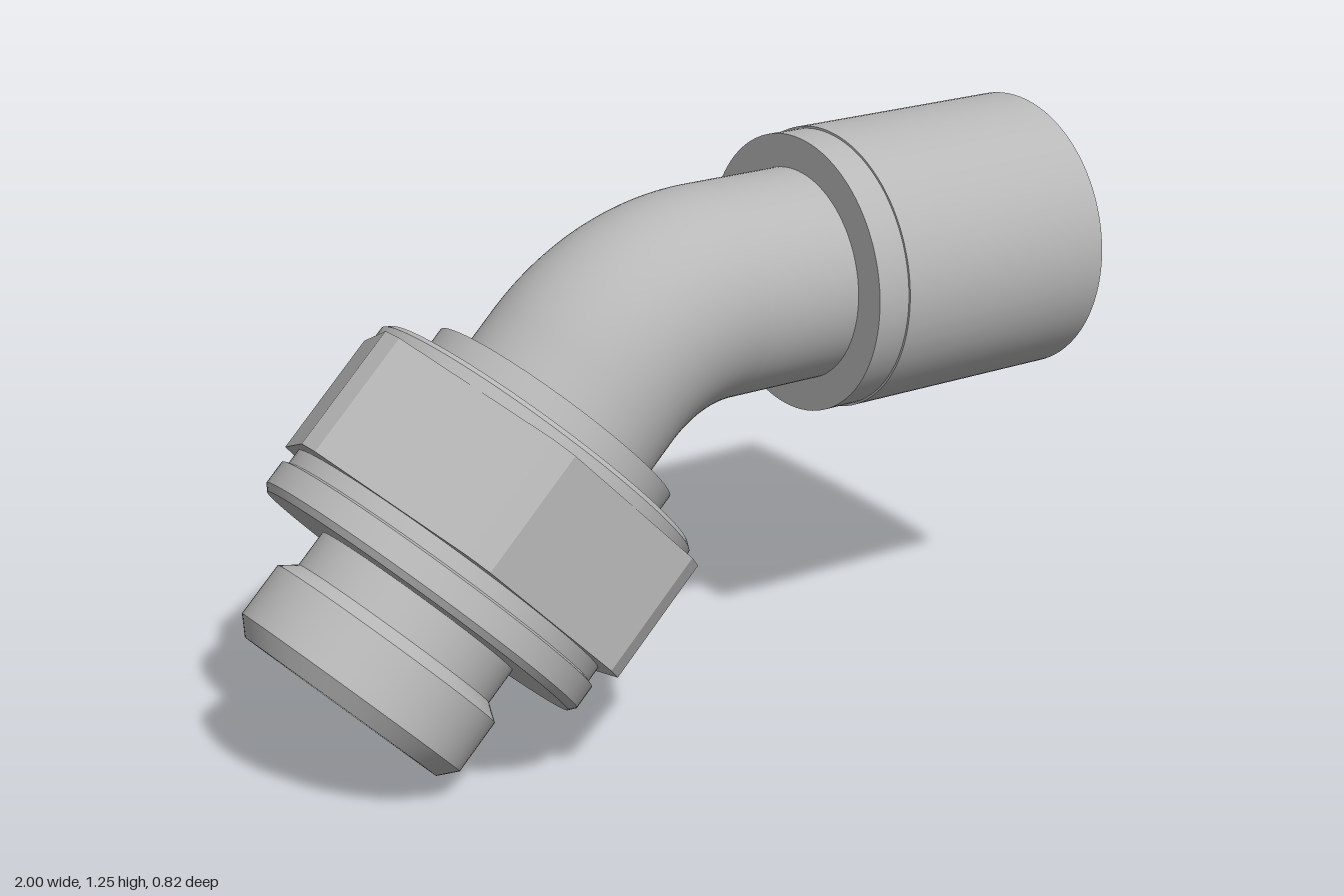
import * as THREE from 'three';
import { toCreasedNormals } from 'three/addons/utils/BufferGeometryUtils.js';

const steel = new THREE.MeshStandardMaterial({ color: 0xb8b8b8, side: THREE.DoubleSide });
steel.name = 'steel grey';

const PIPE = 0.24, BORE = 0.2, BEND = 0.46;

function add(parent, name, geometry) {
  const mesh = new THREE.Mesh(geometry, steel);
  mesh.name = name;
  parent.add(mesh);
  return mesh;
}

// Turned part from [radius, distance along axis] pairs, with sharp edges kept
function turned(parent, name, profile) {
  const points = profile.map(([r, s]) => new THREE.Vector2(r, s));
  return add(parent, name, toCreasedNormals(new THREE.LatheGeometry(points, 96), 0.35));
}

// Hexagon with slightly trimmed corners and a round hole
function hexNut(apothem, corner, holeRadius, length) {
  const half = (apothem / Math.cos(Math.PI / 6) - corner) * Math.tan(Math.PI / 3);
  const points = [];
  for (let i = 0; i < 6; i++) {
    const a = i * Math.PI / 3;
    for (const side of [-half, half]) {
      points.push(new THREE.Vector2(
        corner * Math.cos(a) - side * Math.sin(a),
        corner * Math.sin(a) + side * Math.cos(a)));
    }
  }
  const shape = new THREE.Shape(points);
  shape.holes.push(new THREE.Path().absarc(0, 0, holeRadius, 0, Math.PI * 2, true));
  const geometry = new THREE.ExtrudeGeometry(shape, { depth: length, bevelEnabled: false, curveSegments: 48 });
  return geometry.rotateX(-Math.PI / 2);
}

export function createModel() {
  const model = new THREE.Group();
  model.name = 'pipeElbow';

  // Bent pipe, outside and bore
  for (const [name, radius] of [['bendOuter', PIPE], ['bendBore', BORE]]) {
    const bend = add(model, name, new THREE.TorusGeometry(BEND, radius, 96, 40, Math.PI / 4));
    bend.position.set(0.12, 0.47, 0);
    bend.rotation.z = Math.PI / 2;
  }

  // Horizontal end: local +y runs along +x from the end of the bend
  const straight = new THREE.Group();
  straight.name = 'straightEnd';
  straight.position.set(0.12, 0.93, 0);
  straight.rotation.z = -Math.PI / 2;
  model.add(straight);
  turned(straight, 'straightPipe', [
    [PIPE, 0], [PIPE, 0.845], [0.225, 0.86], [BORE, 0.86], [BORE, 0],
  ]);
  turned(straight, 'sleeve', [
    [PIPE, 0.24], [0.315, 0.24], [0.315, 0.32], [0.32, 0.32],
    [0.32, 0.88], [0.3, 0.88], [0.27, 0.73], [PIPE, 0.73],
  ]);

  // Angled end: local +y runs down and to the side at 45 degrees
  const angled = new THREE.Group();
  angled.name = 'angledEnd';
  angled.position.set(0.12 - BEND * Math.SQRT1_2, 0.47 + BEND * Math.SQRT1_2, 0);
  angled.rotation.z = Math.PI * 0.75;
  model.add(angled);
  turned(angled, 'collar', [
    [PIPE, 0], [PIPE, 0.1], [0.305, 0.1], [0.305, 0.17],
  ]);
  turned(angled, 'washerFace', [
    [PIPE, 0.163], [0.395, 0.163], [0.408, 0.174], [0.408, 0.2],
  ]);
  add(angled, 'hexNut', hexNut(0.41, 0.457, 0.23, 0.29)).position.y = 0.2;
  turned(angled, 'sealRing', [
    [0.395, 0.49], [0.395, 0.525], [0.408, 0.53], [0.408, 0.585], [0.395, 0.6], [0.25, 0.6],
  ]);
  turned(angled, 'threadedSpigot', [
    [0.25, 0.58], [0.25, 0.685], [0.285, 0.712], [0.285, 0.838], [0.25, 0.875],
    [0.22, 0.875], [BORE, 0.78], [BORE, 0],
  ]);

  return model;
}
